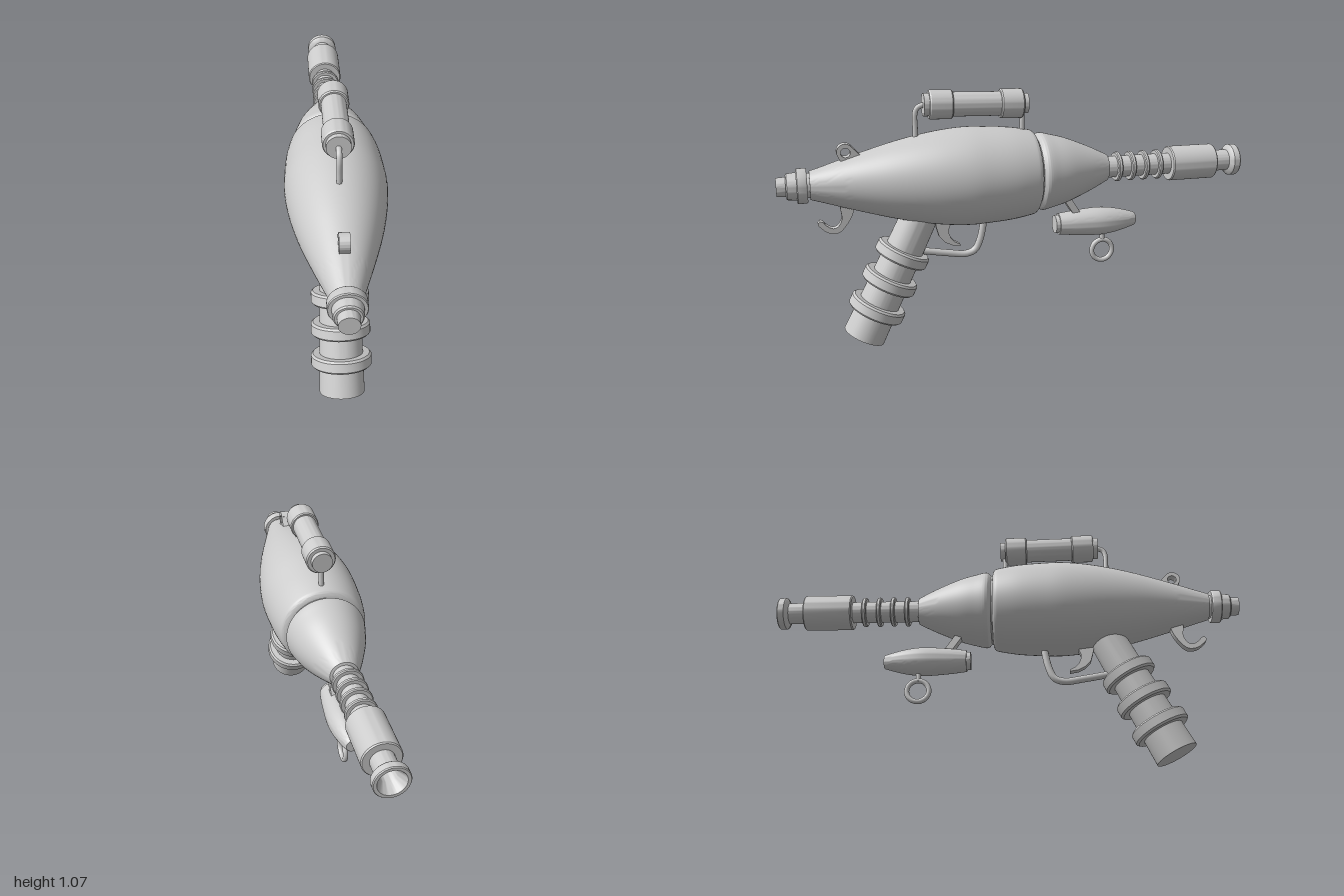
import * as THREE from 'three';
import { toCreasedNormals } from 'three/addons/utils/BufferGeometryUtils.js';

const AXIS = 0.708; // height of the barrel axis

export function createModel() {
  const model = new THREE.Group();
  model.name = 'rayGun';
  const grey = new THREE.MeshStandardMaterial({ color: 0xcccccc });
  grey.name = 'plain grey';
  const V = (z, y) => new THREE.Vector3(0, y, z);

  const add = (name, geometry, parent = model) => {
    const mesh = new THREE.Mesh(geometry, grey);
    mesh.name = name;
    parent.add(mesh);
    return mesh;
  };

  // Solid of revolution from [along, radius] pairs, running from low to high
  const turned = (pairs, segments = 48) => toCreasedNormals(
    new THREE.LatheGeometry(pairs.map(([a, r]) => new THREE.Vector2(r, a)), segments), 0.55);
  // Same, lying along z
  const turnedZ = (pairs, segments) => turned(pairs, segments).rotateX(Math.PI / 2);

  // Smooth run of [along, radius] pairs
  const smooth = (pairs, n = 32) => new THREE.SplineCurve(
    pairs.map(p => new THREE.Vector2(...p))).getPoints(n).map(p => [p.x, p.y]);

  // Bevelled disc profile
  const disc = (a, b, r, e = 0.004) => [[a, 0], [a, r - e], [a + e, r], [b - e, r], [b, r - e], [b, 0]];

  // Side-profile plate: shape drawn in (z, y), thickness along x
  const plate = (shape, width) => toCreasedNormals(
    new THREE.ExtrudeGeometry(shape, { depth: width, bevelEnabled: false, curveSegments: 24 })
      .translate(0, 0, -width / 2).rotateY(-Math.PI / 2), 0.55);
  const outline = (pairs) => new THREE.Shape(pairs.map(p => new THREE.Vector2(...p)));

  const rod = (points, r) => new THREE.TubeGeometry(
    new THREE.CatmullRomCurve3(points, false, 'centripetal'), 40, r, 12);

  // Main hull with a groove before the tapering rear cone
  add('hull', turnedZ([
    [-0.385, 0], [-0.385, 0.055],
    ...smooth([[-0.384, 0.058], [-0.3, 0.098], [-0.2, 0.138], [-0.13, 0.157], [-0.095, 0.165], [-0.08, 0.163], [-0.072, 0.155]]),
    [-0.066, 0.15], [-0.06, 0.152],
    ...smooth([[-0.058, 0.165], [-0.05, 0.176], [-0.03, 0.183], [0.05, 0.196], [0.15, 0.203], [0.24, 0.205],
      [0.34, 0.196], [0.44, 0.179], [0.54, 0.156], [0.64, 0.128], [0.74, 0.098], [0.82, 0.073], [0.87, 0.058]], 60),
    [0.872, 0],
  ], 64)).position.y = AXIS;

  // Stepped cap at the front
  add('frontCap', turnedZ([
    [0.86, 0], [0.86, 0.05], [0.88, 0.05], [0.88, 0.068], [0.885, 0.071], [0.918, 0.071], [0.922, 0.068],
    [0.922, 0.056], [0.958, 0.053], [0.963, 0.048], [0.963, 0.04], [1, 0.038], [1, 0],
  ])).position.y = AXIS;

  // Barrel with a sleeve, flared lip and hollow mouth
  add('barrel', turnedZ([
    [-0.86, 0], [-0.88, 0.026], [-0.96, 0.032], [-1, 0.054], [-1, 0.066], [-0.996, 0.069], [-0.97, 0.069],
    [-0.964, 0.064], [-0.956, 0.046], [-0.885, 0.046], [-0.885, 0.072], [-0.88, 0.076], [-0.68, 0.076],
    [-0.675, 0.072], [-0.675, 0.046], [-0.37, 0.046],
  ])).position.y = AXIS;
  for (const z of [-0.435, -0.497, -0.558, -0.622]) {
    add('coolingFin', turnedZ(disc(z - 0.009, z + 0.009, 0.064))).position.y = AXIS;
  }

  // Sighting tube on two bent brackets
  const scope = add('scope', turnedZ([
    [-0.218, 0], [-0.218, 0.042], [-0.196, 0.042], [-0.196, 0.056], [-0.19, 0.061], [-0.105, 0.061], [-0.1, 0.056],
    [-0.1, 0.05], [0.1, 0.05], [0.1, 0.056], [0.105, 0.06], [0.19, 0.06], [0.196, 0.056],
    [0.196, 0.047], [0.218, 0.047], [0.218, 0],
  ]));
  scope.position.set(0, 1.008, 0.188);
  scope.rotation.x = -0.025;
  for (const [z, dir] of [[0.44, -1], [-0.008, 1]]) {
    add('scopeBracket', rod([V(z, 0.85), V(z, 0.92), V(z, 0.975), V(z + dir * 0.009, 1),
      V(z + dir * 0.03, 1.011), V(z + dir * 0.06, 1.012)], 0.011));
  }

  // Front sight with a round hole
  const sight = new THREE.Shape();
  sight.moveTo(0.74, 0.76);
  sight.lineTo(0.64, 0.8);
  sight.lineTo(0.672, 0.83);
  sight.lineTo(0.7, 0.86);
  sight.absarc(0.725, 0.838, 0.034, 2.4, -0.4, true);
  sight.lineTo(0.738, 0.79);
  sight.holes.push(new THREE.Path().absarc(0.724, 0.836, 0.019, 0, Math.PI * 2, false));
  add('frontSight', plate(sight, 0.04));

  // Curled hook under the nose
  const hook = new THREE.Shape();
  hook.moveTo(0.755, 0.66);
  hook.lineTo(0.755, 0.6);
  hook.splineThru([[0.752, 0.562], [0.768, 0.533], [0.79, 0.526], [0.815, 0.54], [0.826, 0.553], [0.84, 0.558],
    [0.848, 0.545], [0.838, 0.532], [0.816, 0.513], [0.79, 0.504], [0.762, 0.508], [0.735, 0.535], [0.71, 0.575], [0.692, 0.63]]
    .map(p => new THREE.Vector2(...p)));
  add('noseHook', plate(hook, 0.034));

  // Slanted grip with three raised bands
  const grip = new THREE.Group();
  grip.name = 'grip';
  grip.position.set(0, 0.04, 0.685);
  grip.rotation.x = -0.46;
  model.add(grip);
  add('gripShaft', turned([[0, 0], [0, 0.09], [0.6, 0.075], [0.6, 0]]), grip);
  [[0.135, 0.12], [0.265, 0.117], [0.392, 0.114]].forEach(([a, r]) =>
    add('gripBand', turned(disc(a - 0.026, a + 0.026, r, 0.008)), grip));

  // Trigger and its guard
  add('trigger', plate(outline([[0.375, 0.54], [0.365, 0.49], [0.355, 0.455], [0.33, 0.428], [0.3, 0.413], [0.265, 0.407],
    [0.266, 0.415], [0.29, 0.428], [0.305, 0.445], [0.313, 0.465], [0.314, 0.485], [0.306, 0.505], [0.3, 0.54]]), 0.03));
  add('triggerGuard', rod([V(0.155, 0.55), V(0.163, 0.49), V(0.178, 0.425), V(0.2, 0.382), V(0.24, 0.367),
    V(0.32, 0.377), V(0.43, 0.396), V(0.5, 0.405)], 0.015));

  // Pod slung under the rear, with strut and ring
  add('podStrut', plate(outline([[-0.17, 0.61], [-0.25, 0.49], [-0.285, 0.49], [-0.205, 0.61]]), 0.04));
  add('pod', turnedZ([
    [-0.525, 0], [-0.525, 0.026],
    ...smooth([[-0.52, 0.03], [-0.46, 0.047], [-0.4, 0.058], [-0.34, 0.061], [-0.25, 0.055], [-0.172, 0.046]], 24),
    [-0.172, 0.039], [-0.155, 0.039], [-0.155, 0],
  ])).position.y = 0.467;
  add('ringStem', new THREE.CylinderGeometry(0.011, 0.011, 0.05, 16)).position.set(0, 0.4, -0.377);
  add('pullRing', new THREE.TorusGeometry(0.047, 0.011, 12, 40).rotateY(Math.PI / 2)).position.set(0, 0.332, -0.377);

  return model;
}
